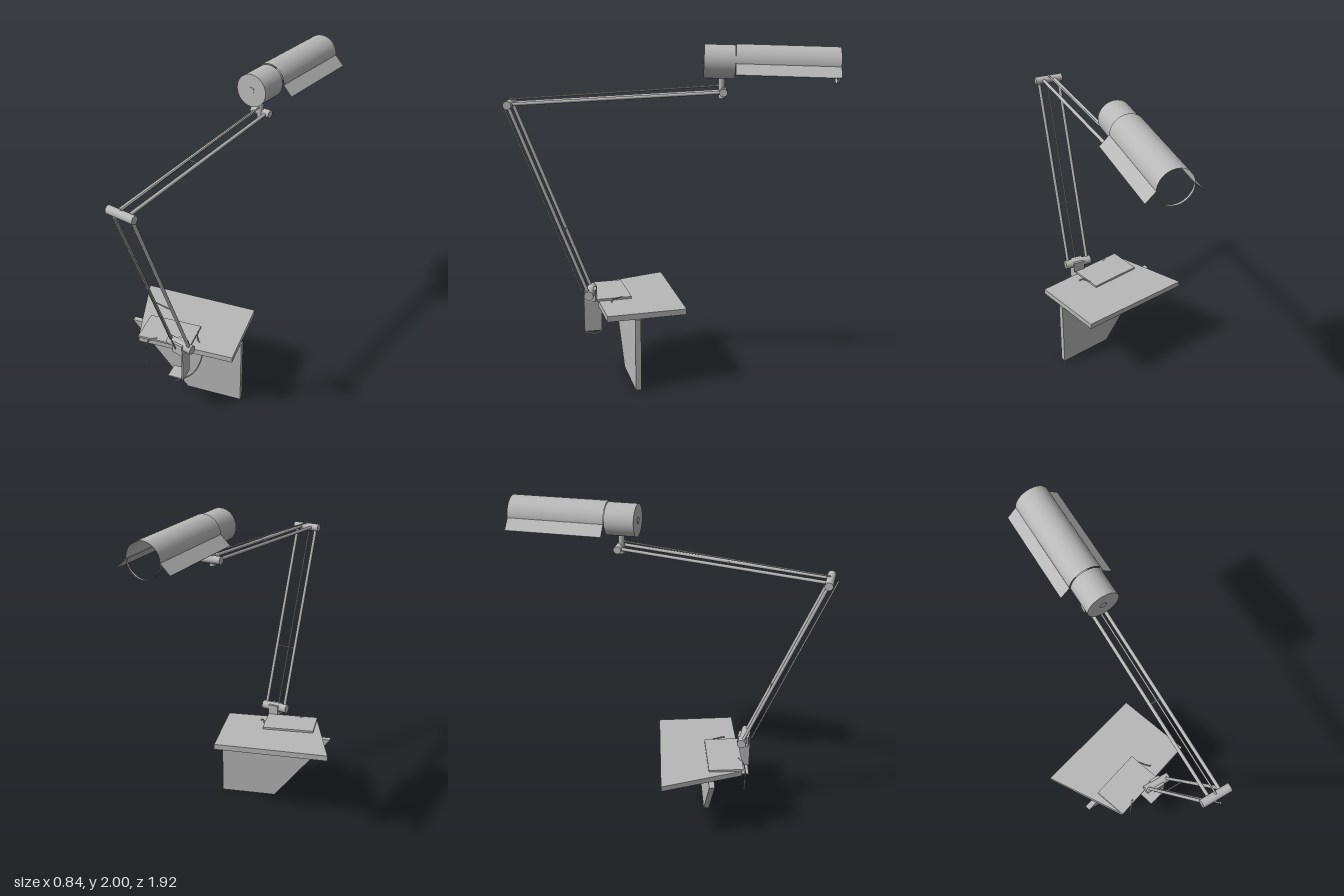
import * as THREE from 'three';

const metal = new THREE.MeshStandardMaterial({ color: 0xb8b8b8, side: THREE.DoubleSide });
metal.name = 'grey';

const CX = 0.14; // centre line of the lamp

export function createModel() {
  const model = new THREE.Group();

  const add = (name, geometry, x = 0, y = 0, z = 0, parent = model) => {
    const mesh = new THREE.Mesh(geometry, metal);
    mesh.name = name;
    mesh.position.set(x, y, z);
    parent.add(mesh);
    return mesh;
  };

  // Round bar between two points
  const rod = (name, a, b, r, sides = 16) => {
    const from = new THREE.Vector3(...a), to = new THREE.Vector3(...b);
    const dir = to.clone().sub(from);
    const mid = from.clone().add(to).multiplyScalar(0.5);
    const mesh = add(name, new THREE.CylinderGeometry(r, r, dir.length(), sides), mid.x, mid.y, mid.z);
    mesh.quaternion.setFromUnitVectors(new THREE.Vector3(0, 1, 0), dir.normalize());
    return mesh;
  };

  // Horizontal slab from [x, z] corners
  const slab = (name, corners, y, height) => {
    const shape = new THREE.Shape(corners.map(([x, z]) => new THREE.Vector2(x, -z)));
    const g = new THREE.ExtrudeGeometry(shape, { depth: height, bevelEnabled: false });
    return add(name, g.rotateX(-Math.PI / 2), 0, y, 0);
  };

  const cable = (name, points) => {
    const curve = new THREE.CatmullRomCurve3(points.map(p => new THREE.Vector3(...p)));
    return add(name, new THREE.TubeGeometry(curve, 32, 0.004, 8));
  };

  // Desk corner: top and slanted support board
  slab('deskTop', [[-0.42, 0.078], [-0.147, 0.515], [0.418, 0.338], [0.27, -0.112]], 0.44, 0.035);
  const boardShape = new THREE.Shape([[0, 0.44], [0.36, 0], [0.71, 0], [0.71, 0.44]]
    .map(p => new THREE.Vector2(...p)));
  const boardGeo = new THREE.ExtrudeGeometry(boardShape, { depth: 0.034, bevelEnabled: false });
  const board = add('supportBoard', boardGeo.translate(0, 0, -0.017), -0.312, 0, 0.364);
  board.rotation.y = 0.284;

  // Bent sheet clamp
  slab('clampTopPlate', [[-0.208, 0.322], [-0.145, 0.523], [0.168, 0.425], [0.105, 0.225]], 0.475, 0.013);
  slab('clampSidePlate', [[0.143, 0.405], [0.172, 0.507], [0.18, 0.504], [0.151, 0.402]], 0.29, 0.19);
  slab('clampLowerPlate', [[0.055, 0.43], [0.08, 0.523], [0.178, 0.497], [0.15, 0.402]], 0.286, 0.008);

  // Loose cables
  cable('leftCable', [[-0.04, 0.488, 0.47], [-0.07, 0.482, 0.505], [-0.085, 0.44, 0.522],
    [-0.08, 0.36, 0.524], [-0.075, 0.29, 0.522]]);
  cable('rightCable', [[0.12, 0.49, 0.28], [0.165, 0.485, 0.335], [0.2, 0.44, 0.338],
    [0.205, 0.35, 0.37], [0.18, 0.28, 0.42], [0.12, 0.26, 0.52]]);

  // Base post and hinges
  add('basePost', new THREE.BoxGeometry(0.07, 0.07, 0.07), CX, 0.513, 0.47);
  const base = [0.528, 0.47], elbow = [1.657, 0.91], wrist = [1.733, -0.31];
  const hinge = (name, [y, z], half, r) => rod(name, [CX - half, y, z], [CX + half, y, z], r, 32);
  hinge('baseHinge', base, 0.086, 0.028);
  hinge('elbowHinge', elbow, 0.086, 0.024);
  hinge('wristHinge', wrist, 0.062, 0.023);

  // Paired arm rods, spacer bars and tension wires
  for (const s of [-1, 1]) {
    rod('lowerArmRod', [CX + s * 0.065, ...base], [CX + s * 0.065, ...elbow], 0.01);
    rod('upperArmRod', [CX + s * 0.035, ...elbow], [CX + s * 0.035, ...wrist], 0.01);
  }
  rod('lowerArmSpacer', [CX - 0.06, 0.907, 0.617], [CX + 0.06, 0.907, 0.617], 0.004, 8);
  rod('upperArmSpacer', [CX - 0.03, 1.693, 0.33], [CX + 0.03, 1.693, 0.33], 0.004, 8);
  rod('lowerTensionWire', [CX, 0.53, 0.52], [CX, 1.657, 0.955], 0.005, 8);
  rod('upperTensionWire', [CX, 1.683, 0.91], [CX, 1.768, -0.29], 0.005, 8);
  rod('headPost', [CX, 1.695, -0.3], [CX, 1.83, -0.3], 0.018, 24);

  // Lamp head, tilted slightly downwards to the back
  const head = new THREE.Group();
  head.name = 'lampHead';
  head.position.set(CX, 1.904, -0.2);
  head.rotation.x = -0.026;
  model.add(head);

  const along = g => g.rotateX(Math.PI / 2);
  add('socket', along(new THREE.CylinderGeometry(0.095, 0.095, 0.175, 48)), 0, 0, -0.0875, head);
  add('socketButton', along(new THREE.CylinderGeometry(0.02, 0.02, 0.006, 24)), 0, 0, 0, head);
  add('bulb', along(new THREE.CylinderGeometry(0.04, 0.04, 0.38, 32)), 0, 0, -0.365, head);

  // Half-round shade with side wings and an end hoop
  const R = 0.101, shadeLength = 0.58, shadeZ = -0.466;
  const halfTube = (length, start) =>
    along(new THREE.CylinderGeometry(R, R, length, 32, 1, true, start, Math.PI));
  add('shade', halfTube(shadeLength, Math.PI / 2), 0, 0, shadeZ, head);
  add('endHoop', halfTube(0.014, -Math.PI / 2), 0, 0, -0.749, head);
  for (const s of [-1, 1]) {
    const wing = add('shadeWing', new THREE.BoxGeometry(0.079, 0.004, shadeLength), s * 0.128, -0.029, shadeZ, head);
    wing.rotation.z = -s * 0.78;
  }

  return model;
}
